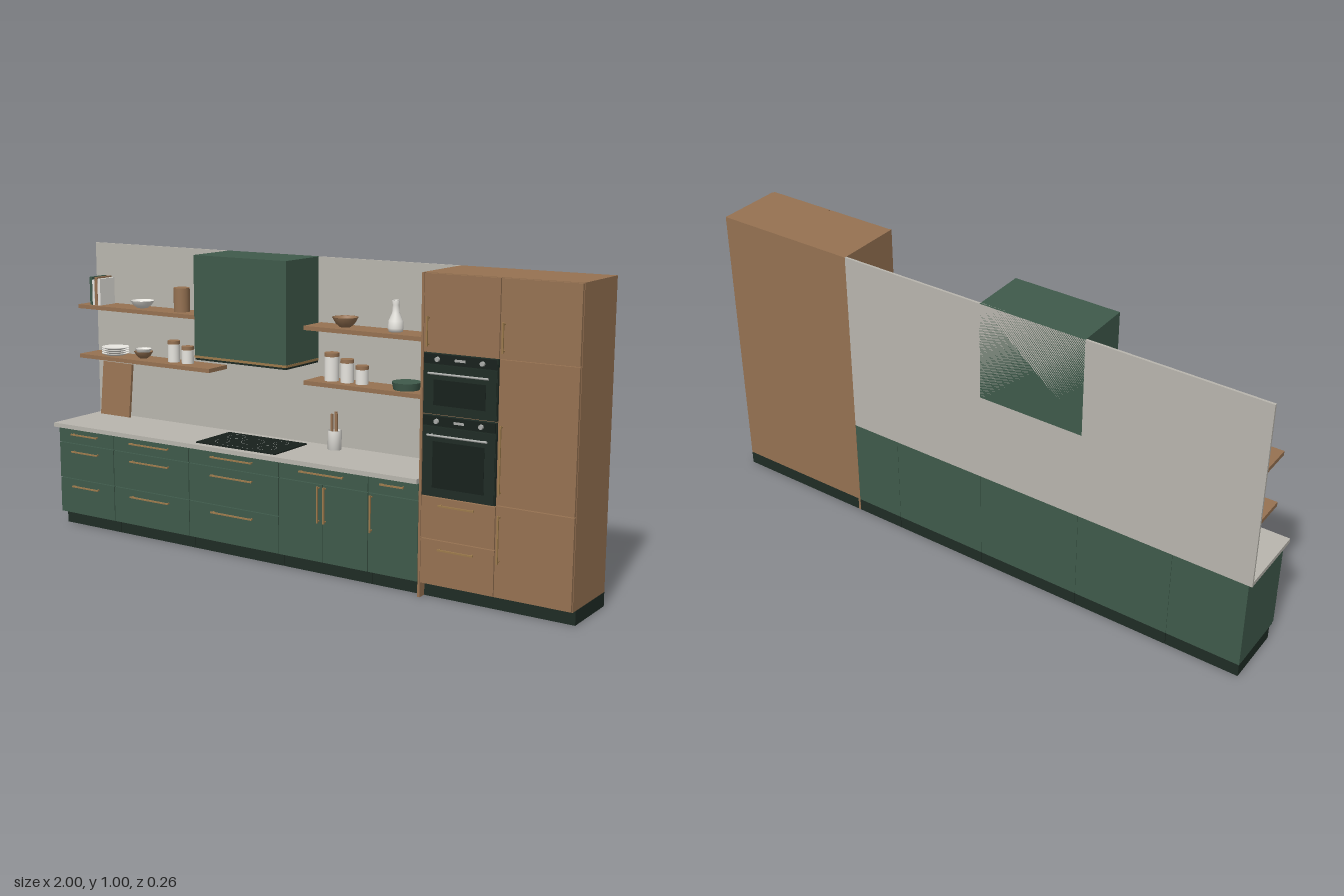
import * as THREE from 'three';

const mat = (name, color, side = THREE.FrontSide) => {
  const m = new THREE.MeshStandardMaterial({ color, side });
  m.name = name;
  return m;
};

export function createModel() {
  const root = new THREE.Group();
  root.name = 'kitchen';
  const wood = mat('wood', 0x967252, THREE.DoubleSide);
  const green = mat('green lacquer', 0x3f5a4b);
  const dark = mat('dark plinth', 0x1f2c25);
  const black = mat('black glass', 0x17201c);
  const stone = mat('stone', 0xb9b6ae);
  const white = mat('white ceramic', 0xe6e4de, THREE.DoubleSide);
  const brass = mat('brass', 0x9c7a4c);
  const steel = mat('steel', 0xa9aba8);

  const add = (name, geo, material, x = 0, y = 0, z = 0, parent = root) => {
    const m = new THREE.Mesh(geo, material);
    m.name = name;
    m.position.set(x, y, z);
    parent.add(m);
    return m;
  };
  // box given by its limits on each axis
  const box = (name, material, x0, x1, y0, y1, z0, z1) =>
    add(name, new THREE.BoxGeometry(x1 - x0, y1 - y0, z1 - z0), material,
      (x0 + x1) / 2, (y0 + y1) / 2, (z0 + z1) / 2);
  const cyl = (name, material, x, y, z, r, h, r2 = r) =>
    add(name, new THREE.CylinderGeometry(r2, r, h, 28), material, x, y + h / 2, z);
  const lathe = (name, material, x, y, z, pts) =>
    add(name, new THREE.LatheGeometry(pts.map(p => new THREE.Vector2(...p)), 32), material, x, y, z);

  const BACK = -0.13, BODY = 0.1, FACE = 0.11, GAP = 0.0015;
  // door or drawer front with a narrow joint around it
  const front = (name, material, x0, x1, y0, y1) =>
    box(name, material, x0 + GAP, x1 - GAP, y0 + GAP, y1 - GAP, BODY, FACE);

  // bar handle on two posts, horizontal or vertical
  const handle = (x, y, length, vertical = false) => {
    const g = new THREE.Group();
    g.name = 'handle';
    add('handleBar', new THREE.BoxGeometry(length, 0.005, 0.005), brass, 0, 0, 0.0125, g);
    for (const s of [-1, 1])
      add('handlePost', new THREE.BoxGeometry(0.004, 0.004, 0.012), brass, s * (length / 2 - 0.006), 0, 0.005, g);
    g.position.set(x, y, FACE);
    if (vertical) g.rotation.z = Math.PI / 2;
    root.add(g);
  };

  // base cabinets
  const edges = [-0.99, -0.735, -0.4, -0.03, 0.31, 0.49];
  const handleLengths = [0.12, 0.17, 0.17, 0.165, 0.085];
  for (let i = 0; i < 5; i++) {
    const a = edges[i], b = edges[i + 1], c = (a + b) / 2;
    box('baseCabinet', green, a + 0.0005, b - 0.0005, 0.045, 0.36, BACK, BODY);
    box('basePlinth', dark, a + 0.001, b - 0.001, 0, 0.045, BACK, 0.08);
    front('topDrawer', green, a, b, 0.305, 0.358);
    handle(c, 0.34, handleLengths[i]);
    if (i < 3) {
      front('middleDrawer', green, a, b, 0.175, 0.305);
      front('bottomDrawer', green, a, b, 0.047, 0.175);
      handle(c, 0.277, handleLengths[i]);
      handle(c, 0.15, handleLengths[i]);
    } else if (i === 3) {
      for (const s of [-1, 1]) {
        front('door', green, s < 0 ? a : c, s < 0 ? c : b, 0.047, 0.305);
        handle(c + s * 0.012, 0.24, 0.12, true);
      }
    } else {
      front('door', green, a, b, 0.047, 0.305);
      handle(a + 0.014, 0.24, 0.12, true);
    }
  }
  box('countertop', stone, -1, 0.49, 0.36, 0.375, BACK, 0.125);
  box('backsplash', stone, -1, 0.49, 0.375, 1, BACK, -0.122);

  // cooktop with ring markings and touch controls
  box('cooktop', black, -0.375, -0.05, 0.375, 0.379, -0.085, 0.1);
  for (const [x, z, r] of [[-0.305, -0.035, 0.032], [-0.305, 0.045, 0.026], [-0.12, -0.035, 0.026],
    [-0.12, 0.045, 0.032], [-0.2125, 0, 0.04]]) {
    const ring = add('burnerRing', new THREE.RingGeometry(r - 0.0015, r, 32), steel, x, 0.3795, z);
    ring.rotation.x = -Math.PI / 2;
  }
  for (let i = 0; i < 7; i++) {
    const x = -0.2725 + i * 0.02;
    box('touchControl', steel, x - 0.002, x + 0.002, 0.379, 0.3796, 0.083, 0.087);
  }

  // extractor hood
  box('hood', green, -0.402, -0.03, 0.665, 1, BACK, 0.065);
  box('hoodTrim', brass, -0.403, -0.029, 0.657, 0.665, -0.122, 0.066);
  box('hoodBase', dark, -0.4, -0.032, 0.65, 0.657, -0.122, 0.063);
  for (const x of [-0.29, -0.14]) box('hoodFilter', steel, x - 0.06, x + 0.06, 0.647, 0.65, -0.08, 0.03);

  // tall cabinets
  box('tallSidePanel', wood, 0.49, 0.498, 0, 1, BACK, FACE);
  box('tallCabinet', wood, 0.498, 1, 0.045, 1, BACK, BODY);
  box('tallPlinth', dark, 0.498, 1, 0, 0.045, BACK, 0.08);
  const mid = 0.749;
  front('upperDoor', wood, 0.498, mid, 0.765, 1);
  front('tallDrawer', wood, 0.498, mid, 0.192, 0.325);
  front('tallDrawer', wood, 0.498, mid, 0.047, 0.192);
  handle(0.623, 0.303, 0.12);
  handle(0.623, 0.165, 0.12);
  handle(0.516, 0.828, 0.09, true);
  for (const [y0, y1, h0, h1] of [[0.765, 1, 0.783, 0.873], [0.33, 0.765, 0.365, 0.572], [0.047, 0.33, 0.155, 0.302]]) {
    front('tallDoor', wood, mid, 1, y0, y1);
    handle(0.764, (h0 + h1) / 2, h1 - h0, true);
  }

  // built-in ovens
  const oven = (y0, y1) => {
    box('ovenBody', dark, 0.501, 0.746, y0, y1, 0.09, 0.111);
    box('ovenControlPanel', black, 0.503, 0.744, y1 - 0.031, y1 - 0.002, 0.111, 0.1135);
    box('ovenDoor', dark, 0.503, 0.744, y0 + 0.004, y1 - 0.034, 0.111, 0.1135);
    box('ovenWindow', black, 0.537, 0.71, y0 + 0.028, y1 - 0.078, 0.1135, 0.1145);
    box('ovenDisplay', steel, 0.606, 0.641, y1 - 0.02, y1 - 0.012, 0.1135, 0.114);
    for (const x of [0.549, 0.698]) {
      const knob = add('ovenKnob', new THREE.CylinderGeometry(0.007, 0.008, 0.008, 20), steel, x, y1 - 0.0165, 0.117);
      knob.rotation.x = Math.PI / 2;
    }
    const bar = add('ovenHandle', new THREE.CylinderGeometry(0.0035, 0.0035, 0.2, 12), steel, 0.6235, y1 - 0.058, 0.126);
    bar.rotation.z = Math.PI / 2;
    for (const x of [0.535, 0.712]) box('ovenHandlePost', steel, x - 0.003, x + 0.003, y1 - 0.06, y1 - 0.056, 0.113, 0.126);
  };
  oven(0.58, 0.763);
  oven(0.327, 0.576);

  // shelves
  const LOW = 0.605, HIGH = 0.785, SZ = -0.075;
  for (const y of [LOW, HIGH]) {
    box('leftShelf', wood, -1, -0.41, y - 0.014, y, -0.122, -0.02);
    box('rightShelf', wood, -0.02, 0.49, y - 0.014, y, -0.122, -0.02);
  }

  // tableware
  const bowl = (name, material, x, y, r, h) => lathe(name, material, x, y, SZ,
    [[0, 0], [r * 0.42, 0], [r * 0.72, h * 0.35], [r, h], [r * 0.93, h], [r * 0.65, h * 0.42], [r * 0.38, h * 0.18], [0, h * 0.15]]);
  const jar = (x, r, h) => {
    cyl('jar', white, x, LOW, SZ, r, h - 0.012);
    cyl('jarLid', wood, x, LOW + h - 0.012, SZ, r * 1.03, 0.012);
  };
  [[green, 0.011, 0.1], [white, 0.01, 0.09], [wood, 0.013, 0.1], [white, 0.012, 0.095]].reduce((x, [m, w, h]) => {
    box('book', m, x, x + w, HIGH, HIGH + h, -0.112, -0.035);
    return x + w + 0.001;
  }, -0.956);
  bowl('whiteBowl', white, -0.745, HIGH, 0.043, 0.026);
  cyl('woodCanister', wood, -0.567, HIGH, SZ, 0.028, 0.083);
  bowl('woodBowl', wood, 0.105, HIGH, 0.043, 0.032);
  lathe('bottle', white, 0.293, HIGH, SZ, [[0, 0], [0.022, 0], [0.025, 0.012], [0.023, 0.035], [0.012, 0.06],
    [0.01, 0.085], [0.013, 0.1], [0.009, 0.1], [0.007, 0.08], [0, 0.07]]);
  for (let i = 0; i < 4; i++)
    lathe('plate', white, -0.877, LOW + i * 0.007, SZ, [[0, 0], [0.032, 0], [0.05, 0.007], [0.049, 0.009], [0.031, 0.003], [0, 0.003]]);
  bowl('smallBowl', wood, -0.745, LOW, 0.034, 0.024);
  bowl('smallBowl', white, -0.745, LOW + 0.012, 0.03, 0.022);
  jar(-0.606, 0.021, 0.075);
  jar(-0.545, 0.021, 0.06);
  jar(0.054, 0.024, 0.092);
  jar(0.113, 0.022, 0.076);
  jar(0.17, 0.021, 0.06);
  cyl('greenDish', green, 0.335, LOW, SZ, 0.042, 0.024, 0.047);

  // leaning board and utensil crock on the counter
  const board = box('cuttingBoard', wood, -0.968, -0.832, 0.375, 0.568, -0.1, -0.09);
  board.rotation.x = -0.11;
  board.position.z = -0.104;
  lathe('utensilCrock', white, 0.063, 0.375, -0.08, [[0, 0], [0.023, 0], [0.023, 0.064], [0.02, 0.064], [0.02, 0.01], [0, 0.01]]);
  for (const [dx, dz, h] of [[-0.009, 0.004, 0.118], [0, -0.007, 0.125], [0.009, 0.004, 0.122]])
    box('utensil', wood, 0.059 + dx, 0.067 + dx, 0.387, 0.375 + h, -0.083 + dz, -0.077 + dz);

  return root;
}
